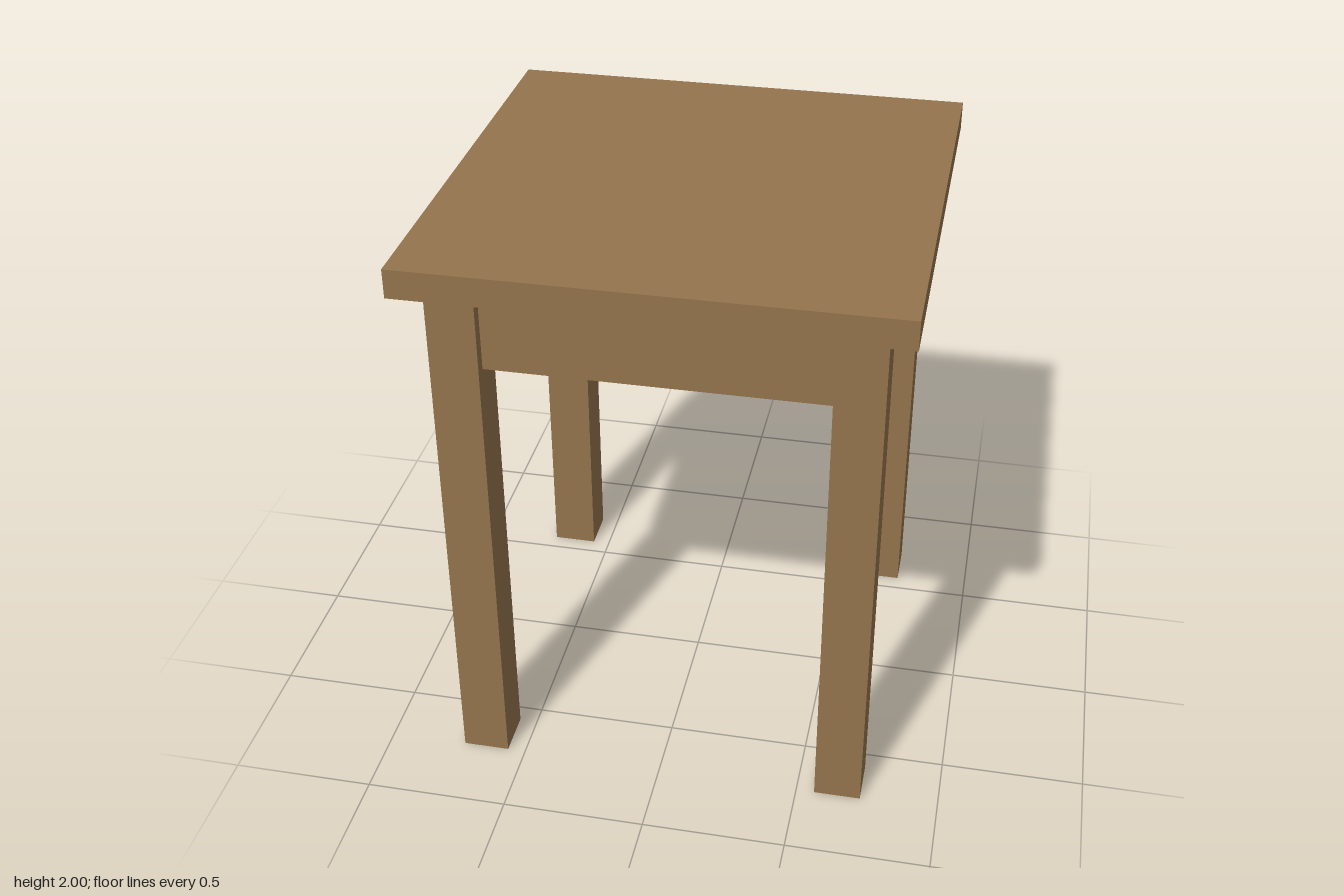
import * as THREE from 'three';

export function createModel() {
  const group = new THREE.Group();
  const wood = new THREE.MeshStandardMaterial({ color: 0x94744d });
  wood.name = 'wood';

  const topSize = 1.634, topThick = 0.1, underside = 2 - topThick;
  const leg = 0.163, legPos = 0.646;
  const apronHeight = 0.3, apronThick = 0.082, apronSpan = 2 * legPos - leg;

  function box(name, w, h, d, x, y, z) {
    const mesh = new THREE.Mesh(new THREE.BoxGeometry(w, h, d), wood);
    mesh.name = name;
    mesh.position.set(x, y, z);
    group.add(mesh);
  }

  // square seat board
  box('seat', topSize, topThick, topSize, 0, 2 - topThick / 2, 0);

  // four straight legs
  for (const [sideName, sx] of [['Left', 1], ['Right', -1]]) {
    for (const [endName, sz] of [['front', 1], ['back', -1]]) {
      box(`${endName}${sideName}Leg`, leg, underside, leg, sx * legPos, underside / 2, sz * legPos);
    }
  }

  // apron rails, centred on the legs
  const apronY = underside - apronHeight / 2;
  for (const s of [1, -1]) {
    box(s > 0 ? 'frontApron' : 'backApron', apronSpan, apronHeight, apronThick, 0, apronY, s * legPos);
    box(s > 0 ? 'leftApron' : 'rightApron', apronThick, apronHeight, apronSpan, s * legPos, apronY, 0);
  }

  return group;
}
